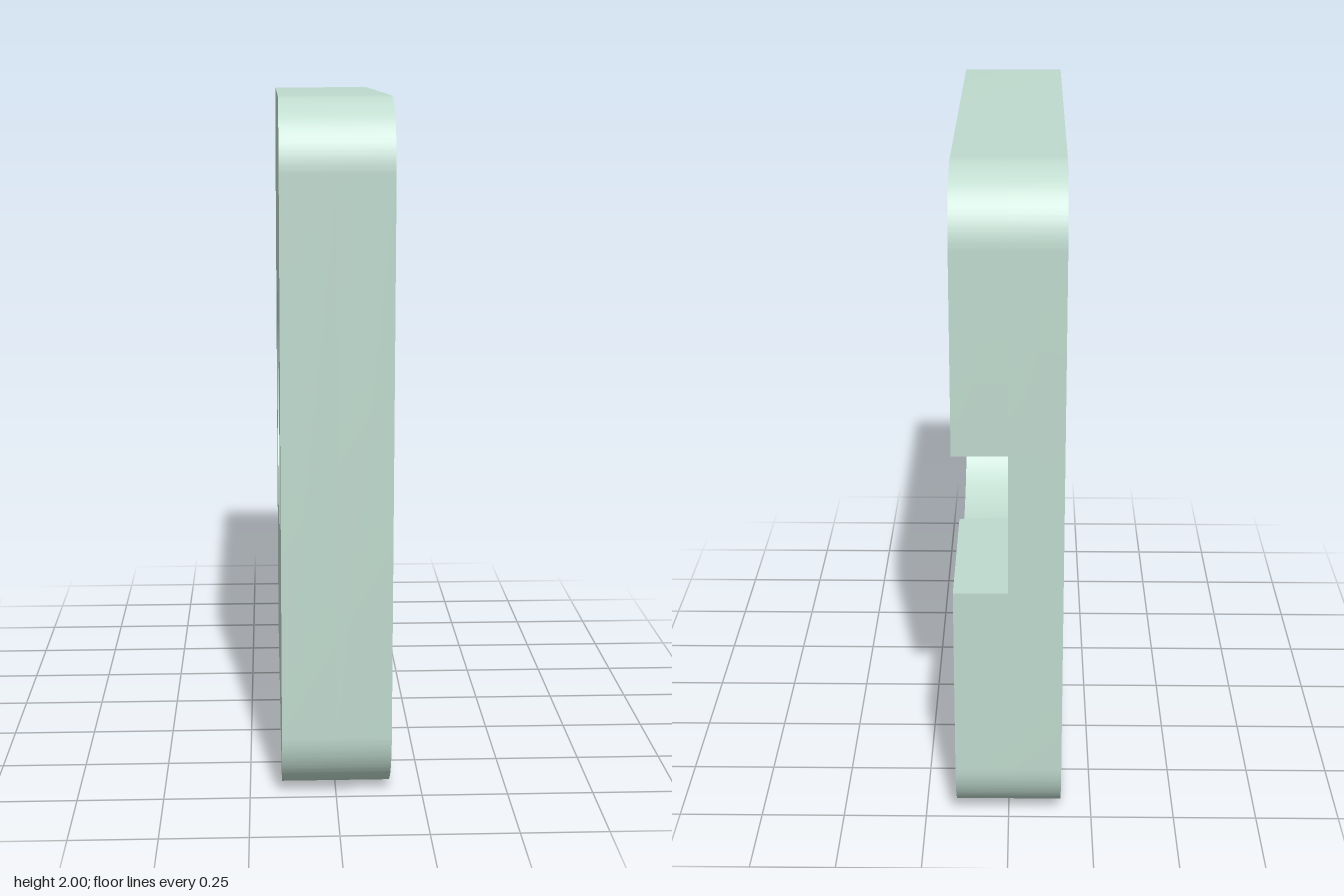
import * as THREE from 'three';
import { mergeGeometries, toCreasedNormals } from 'three/addons/utils/BufferGeometryUtils.js';

const W = 0.793;       // half width along z
const T = 0.157;       // half thickness along x
const CORNER = 0.2;
const R = 0.38;        // bore radius
const CY = 1.004;      // height of bore and slot centre
const H = 0.2125;      // half height of the slot
const SKIN = 0.003;    // thin wall closing the slot at the front
const A = Math.asin(H / R);
const C = R * Math.cos(A);
const BOT = CY - H, TOP = CY + H;
const SEG = 24;

// Profiles are drawn facing +x, with u = -z and v = y.
// Outer rounded edge, counter-clockwise from the top to the bottom of the slot mouth.
function outerEdge() {
  const s = new THREE.Shape();
  const u = W - CORNER, top = 2 - CORNER, q = Math.PI / 2;
  s.moveTo(W, TOP);
  s.absarc(u, top, CORNER, 0, q);
  s.absarc(-u, top, CORNER, q, 2 * q);
  s.absarc(-u, CORNER, CORNER, 2 * q, 3 * q);
  s.absarc(u, CORNER, CORNER, 3 * q, 4 * q);
  s.lineTo(W, BOT);
  return s;
}

// Clockwise piece of the bore edge
const boreArc = (path, from, to) => path.absarc(0, CY, R, from, to, true);

function basePlate() {
  const s = outerEdge();
  s.lineTo(W, TOP);
  const hole = new THREE.Path();
  const stops = [A, -A, A - Math.PI, -A - Math.PI, A - 2 * Math.PI];
  hole.moveTo(C, TOP);
  for (let i = 0; i < 4; i++) boreArc(hole, stops[i], stops[i + 1]);
  s.holes.push(hole);
  return s;
}

function slottedLayer() {
  const s = outerEdge();
  s.lineTo(C, BOT);
  boreArc(s, -A, A - Math.PI);
  s.lineTo(-W + SKIN, BOT);
  s.lineTo(-W + SKIN, TOP);
  s.lineTo(-C, TOP);
  boreArc(s, Math.PI - A, A);
  s.lineTo(W, TOP);
  return s;
}

function slotFloors() {
  const back = new THREE.Shape();
  back.moveTo(C, BOT);
  back.lineTo(W, BOT);
  back.lineTo(W, TOP);
  back.lineTo(C, TOP);
  boreArc(back, A, -A);
  const front = new THREE.Shape();
  front.moveTo(-W + SKIN, BOT);
  front.lineTo(-C, BOT);
  boreArc(front, A - Math.PI, -A - Math.PI);
  front.lineTo(-W + SKIN, TOP);
  return [back, front];
}

// Side walls only of an extruded profile, from x0 to x0 + T
function walls(shape, x0) {
  const g = new THREE.ExtrudeGeometry(shape, { depth: T, bevelEnabled: false, curveSegments: SEG });
  const { start, count } = g.groups[1];
  const out = new THREE.BufferGeometry();
  for (const name of ['position', 'normal', 'uv']) {
    const a = g.attributes[name], n = a.itemSize;
    out.setAttribute(name, new THREE.BufferAttribute(a.array.slice(start * n, (start + count) * n), n));
  }
  return out.rotateY(Math.PI / 2).translate(x0, 0, 0);
}

// Flat face at x, looking along +x (side 1) or -x (side -1)
function face(shape, x, side = 1) {
  return new THREE.ShapeGeometry(shape, SEG).toNonIndexed()
    .rotateY(side * Math.PI / 2).translate(x, 0, 0);
}

export function createModel() {
  const group = new THREE.Group();
  group.name = 'slottedPlate';
  const base = basePlate(), slotted = slottedLayer();

  const geometry = toCreasedNormals(mergeGeometries([
    walls(base, -T),
    walls(slotted, 0),
    face(base, -T, -1),
    face(slotted, T),
    ...slotFloors().map((floor) => face(floor, 0)),
  ]), Math.PI / 6);

  const plate = new THREE.Mesh(geometry, new THREE.MeshStandardMaterial({ color: 0xbfdace }));
  plate.name = 'plate';
  group.add(plate);
  return group;
}
